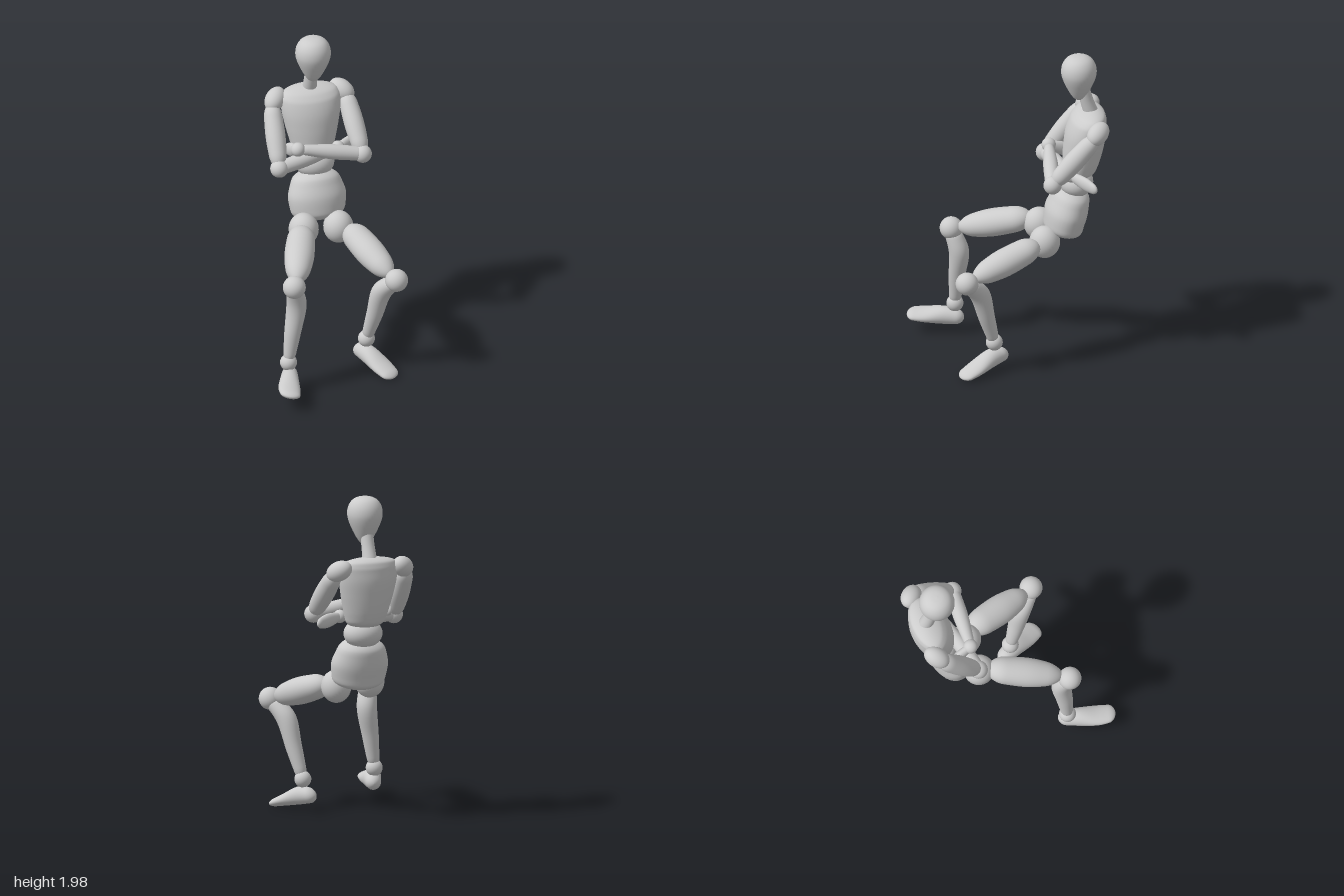
import * as THREE from 'three';

const material = new THREE.MeshStandardMaterial({ color: 0xcccccc });
const V = (p) => new THREE.Vector3(...p);

// Smooth closed body: elliptical rings swept through centers, radii as r or [width, height].
// "cap" is the fraction of the length rounded off at each end, "hint" the width direction.
function loft(name, centers, radii, { cap = 0.1, hint = [1, 0, 0], dir, rings = 32, sides = 32 } = {}) {
  const path = new THREE.CatmullRomCurve3(centers.map(V));
  const size = new THREE.CatmullRomCurve3(radii.map((r) => (Array.isArray(r) ? V([...r, 0]) : V([r, r, 0]))));
  const axis = dir ? V(dir) : V(centers.at(-1)).sub(V(centers[0]));
  axis.normalize();
  const side = V(hint);
  side.addScaledVector(axis, -side.dot(axis)).normalize();
  const up = axis.clone().cross(side);
  const pos = [], index = [];
  for (let i = 0; i <= rings; i++) {
    const t = (1 - Math.cos((Math.PI * i) / rings)) / 2;
    const e = Math.min(1, Math.min(t, 1 - t) / cap);
    const round = Math.max(Math.sqrt(1 - (1 - e) ** 2), 0.001);
    const c = path.getPoint(t), r = size.getPoint(t).multiplyScalar(round);
    for (let j = 0; j < sides; j++) {
      const a = (2 * Math.PI * j) / sides;
      const p = c.clone().addScaledVector(side, r.x * Math.cos(a)).addScaledVector(up, r.y * Math.sin(a));
      pos.push(p.x, p.y, p.z);
      if (i === rings) continue;
      const k = i * sides, n = (j + 1) % sides;
      index.push(k + j, k + n, k + sides + n, k + j, k + sides + n, k + sides + j);
    }
  }
  const g = new THREE.BufferGeometry();
  g.setAttribute('position', new THREE.Float32BufferAttribute(pos, 3));
  g.setIndex(index);
  g.computeVertexNormals();
  const mesh = new THREE.Mesh(g, material);
  mesh.name = name;
  return mesh;
}

// Ball joint, optionally stretched along its local axes
function ball(name, at, r, scale = [1, 1, 1]) {
  const mesh = new THREE.Mesh(new THREE.SphereGeometry(r, 32, 24), material);
  mesh.name = name;
  mesh.position.set(...at);
  mesh.scale.set(...scale);
  return mesh;
}

// Shoulder cap, long axis running inward, up and back
function shoulder(name, at, s) {
  const mesh = ball(name, at, 0.06, [1, 1.4, 1]);
  mesh.quaternion.setFromUnitVectors(V([0, 1, 0]), V([-s * 0.62, 0.45, -0.62]).normalize());
  return mesh;
}

function torso() {
  const g = new THREE.Group();
  g.name = 'torso';
  const X = 0.066;

  // Egg-shaped head, pointed at the chin
  const egg = [[0, 1.71], [0.025, 1.717], [0.048, 1.745], [0.075, 1.795], [0.098, 1.85], [0.107, 1.895],
    [0.1, 1.94], [0.077, 1.976], [0.042, 1.995], [0, 2]].map((p) => new THREE.Vector2(...p));
  const profile = new THREE.SplineCurve(egg).getPoints(40);
  profile.forEach((p) => { p.x = Math.max(p.x, 0); });
  const head = new THREE.Mesh(new THREE.LatheGeometry(profile, 40), material);
  head.name = 'head';
  head.position.set(X, 0, -0.403);

  // Chest rings: height, half width, back z, front z
  const rings = [[1.195, 0.105, -0.485, -0.305], [1.3, 0.138, -0.525, -0.305], [1.4, 0.163, -0.55, -0.31],
    [1.5, 0.181, -0.567, -0.325], [1.58, 0.183, -0.568, -0.355], [1.645, 0.14, -0.55, -0.42]];
  g.add(
    head,
    loft('neck', [[X, 1.8, -0.425], [X, 1.7, -0.45], [X, 1.58, -0.49]], [0.038, 0.04, 0.046], { cap: 0.02 }),
    loft('chest', rings.map(([y, , b, f]) => [X, y, (b + f) / 2]), rings.map(([, w, b, f]) => [w, (f - b) / 2]),
      { dir: [0, 1, 0], cap: 0.1, rings: 48 }),
    ball('waist', [X + 0.004, 1.165, -0.385], 0.1, [1.2, 0.9, 1.03]),
    loft('pelvis', [[X, 0.82, -0.3], [X, 0.89, -0.308], [X, 0.97, -0.325], [X, 1.06, -0.352], [X, 1.135, -0.372]],
      [[0.14, 0.115], [0.168, 0.122], [0.178, 0.128], [0.153, 0.115], [0.112, 0.092]], { cap: 0.2, rings: 48 }),
  );
  return g;
}

function arm(side, s, p) {
  const g = new THREE.Group();
  g.name = side + 'Arm';
  g.add(
    shoulder('shoulder', p.shoulder, s),
    loft('upperArm', [p.armTop, V(p.armTop).lerp(V(p.elbow), 0.5).toArray(), p.elbow], [0.05, 0.06, 0.046], { cap: 0.2 }),
    ball('elbow', p.elbow, 0.055),
    loft('forearm', [p.elbow, V(p.elbow).lerp(V(p.wrist), 0.4).toArray(), p.wrist], [0.042, 0.046, 0.028], { hint: [0, 1, 0] }),
    ball('wrist', p.wrist, p.wristSize),
    loft('hand', [p.wrist, V(p.wrist).lerp(V(p.hand), 0.55).toArray(), p.hand], [[0.026, 0.024], [0.042, 0.026], [0.028, 0.016]],
      { hint: [0, 1, 0], cap: 0.15 }),
  );
  return g;
}

function leg(side, p) {
  const g = new THREE.Group();
  g.name = side + 'Leg';
  g.add(
    ball('hip', p.hip, 0.095, [0.95, 1.05, 0.98]),
    loft('thigh', [p.thighTop, V(p.thighTop).lerp(V(p.thighEnd), 0.5).toArray(), p.thighEnd],
      [[0.078, 0.07], [0.09, 0.083], [0.058, 0.055]], { cap: 0.22 }),
    ball('knee', p.knee, 0.069),
    loft('shin', [p.knee, p.calf, V(p.calf).lerp(V(p.ankle), 0.5).toArray(), p.ankle], [0.05, 0.061, 0.05, 0.033]),
    ball('ankle', p.ankle, 0.051),
    loft('foot', p.foot, [[0.042, 0.042], [0.055, 0.055], [0.067, 0.036], [0.056, 0.02]], { cap: 0.13, hint: p.footSide }),
  );
  return g;
}

export function createModel() {
  const model = new THREE.Group();
  model.name = 'seatedMannequin';
  model.add(
    torso(),
    // Arms folded, the left forearm in front
    arm('left', 1, {
      shoulder: [0.272, 1.572, -0.487], armTop: [0.29, 1.56, -0.475], elbow: [0.315, 1.272, -0.205],
      wrist: [-0.078, 1.345, -0.243], wristSize: 0.043, hand: [-0.11, 1.275, -0.39],
    }),
    arm('right', -1, {
      shoulder: [-0.145, 1.572, -0.487], armTop: [-0.172, 1.56, -0.475], elbow: [-0.197, 1.237, -0.238],
      wrist: [0.2, 1.268, -0.335], wristSize: 0.04, hand: [0.4, 1.255, -0.46],
    }),
    // Legs apart, knees bent
    leg('left', {
      hip: [0.155, 0.815, -0.182], thighTop: [0.2, 0.825, -0.14], thighEnd: [0.34, 0.69, 0.28],
      knee: [0.363, 0.675, 0.32], calf: [0.3, 0.57, 0.235], ankle: [0.232, 0.205, 0.135],
      foot: [[0.19, 0.115, 0.052], [0.237, 0.105, 0.15], [0.293, 0.064, 0.26], [0.338, 0.03, 0.352]], footSide: [1, 0, -0.5],
    }),
    leg('right', {
      hip: [-0.062, 0.832, -0.182], thighTop: [-0.085, 0.865, -0.14], thighEnd: [-0.25, 0.745, 0.28],
      knee: [-0.277, 0.73, 0.317], calf: [-0.25, 0.59, 0.275], ankle: [-0.305, 0.21, 0.29],
      foot: [[-0.28, 0.122, 0.238], [-0.318, 0.128, 0.35], [-0.355, 0.125, 0.47], [-0.377, 0.127, 0.57]], footSide: [1, -0.2, 0.25],
    }),
  );
  return model;
}
